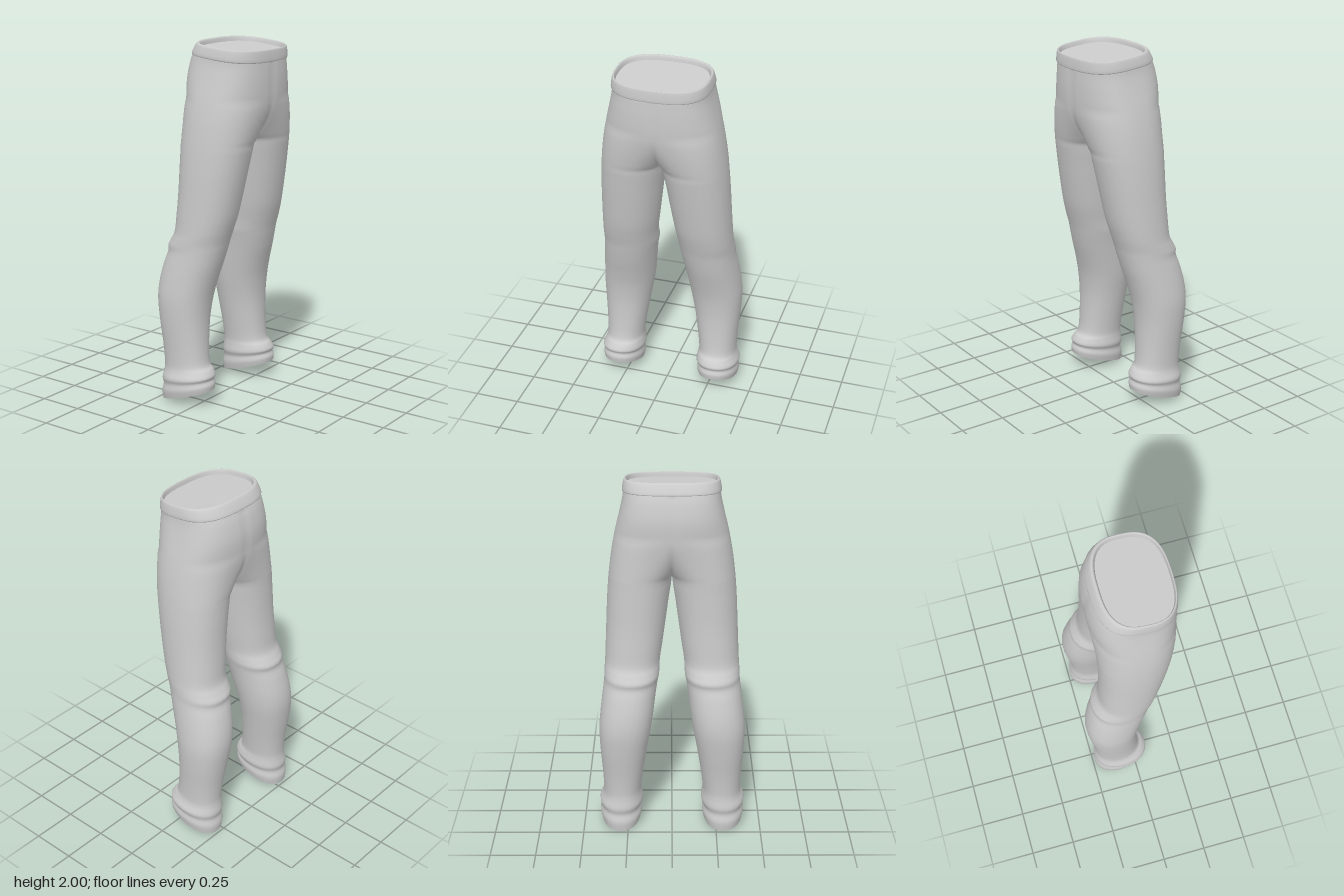
import * as THREE from 'three';
import { mergeGeometries, mergeVertices } from 'three/addons/utils/BufferGeometryUtils.js';

const CROTCH = 1.45, RISE = 0.25, N = 26;

// Cross-sections of one side, top to bottom: [y, inner x, outer x, front z, back z, tilt]
const LEG = [
  [1.925, 0, 0.260, 0.271, -0.148, -0.02],
  [1.88, 0, 0.266, 0.273, -0.168, -0.01],
  [1.80, 0, 0.284, 0.275, -0.184, 0],
  [1.70, 0, 0.308, 0.272, -0.182, 0],
  [1.58, 0, 0.330, 0.256, -0.172, 0],
  [1.45, 0, 0.346, 0.233, -0.166, 0],
  [1.33, 0.017, 0.355, 0.212, -0.165, 0],
  [1.20, 0.035, 0.361, 0.188, -0.166, 0],
  [1.08, 0.052, 0.366, 0.164, -0.172, 0],
  [0.99, 0.066, 0.370, 0.142, -0.180, 0.01],
  [0.945, 0.069, 0.373, 0.130, -0.204, 0.015],
  [0.91, 0.071, 0.375, 0.120, -0.223, 0.015],
  [0.87, 0.079, 0.377, 0.109, -0.222, 0.01],
  [0.80, 0.090, 0.386, 0.088, -0.242, 0],
  [0.70, 0.103, 0.398, 0.058, -0.264, 0],
  [0.60, 0.118, 0.406, 0.034, -0.270, 0],
  [0.48, 0.140, 0.402, 0.021, -0.257, 0],
  [0.34, 0.162, 0.392, 0.023, -0.236, 0],
  [0.235, 0.175, 0.388, 0.034, -0.226, 0],
  [0.195, 0.172, 0.394, 0.060, -0.228, 0.008],
  [0.155, 0.166, 0.410, 0.077, -0.236, 0.018],
  [0.125, 0.176, 0.403, 0.070, -0.230, 0.026],
  [0.09, 0.172, 0.408, 0.079, -0.240, 0.036],
  [0.05, 0.180, 0.400, 0.076, -0.236, 0.046],
];
const HEM = [
  LEG[LEG.length - 1],
  [0.054, 0.188, 0.392, 0.066, -0.226, 0.044],
  [0.062, 0.190, 0.390, 0.064, -0.224, 0.042],
];
const HEM_CAP = [HEM[2], [0.062, 0.29, 0.29, -0.08, -0.08, 0]];
const BAND = [
  [1.955, 0, 0.240, 0.258, -0.100, -0.018],
  [1.976, 0, 0.245, 0.262, -0.105, -0.018],
  [1.982, 0, 0.251, 0.267, -0.114, -0.018],
  [1.972, 0, 0.259, 0.272, -0.128, -0.018],
  [1.925, 0, 0.267, 0.276, -0.153, -0.020],
  [1.918, 0, 0.258, 0.270, -0.147, -0.020],
];
const WAIST_CAP = [[1.955, 0, 0, 0.079, 0.079, 0], BAND[0]];

// Catmull-Rom rows between the given sections
function smoothRows(keys, sub) {
  const rows = [];
  const at = i => keys[Math.min(Math.max(i, 0), keys.length - 1)];
  for (let i = 0; i < keys.length - 1; i++) {
    for (let k = 0; k < sub; k++) {
      const t = k / sub;
      rows.push(at(i).map((b, c) => {
        const a = at(i - 1)[c], d = at(i + 1)[c], e = at(i + 2)[c];
        return b + 0.5 * t * (d - a + t * (2 * a - 5 * b + 4 * d - e + t * (3 * (b - d) + e - a)));
      }));
    }
  }
  rows.push(keys[keys.length - 1]);
  return rows;
}

// One row of points: an open arc above the crotch, a closed ring below it
function ring([y, xi, xo, zf, zb, tilt]) {
  const q = THREE.MathUtils.clamp((y - CROTCH) / RISE, 0, 1);
  const s = Math.asin(1 - q);
  const p = THREE.MathUtils.lerp(0.92, 0.72, THREE.MathUtils.smoothstep(y, 1.4, 1.95));
  const bulge = v => Math.sign(v) * Math.abs(v) ** p;
  const inner = Math.max(xi, 0);
  const rx = (xo - inner) / (1 + bulge(Math.sin(s)));
  const zc = (zf + zb) / 2, d = (zf - zb) / 2;
  const steps = [0, 0.015];
  for (let i = 1; i < N; i++) steps.push(i / N);
  steps.push(0.985, 1);
  return steps.map((u, i) => {
    const end = i === 0 || i === steps.length - 1;
    const a = -s + u * (Math.PI + 2 * s);
    let c = bulge(Math.cos(a));
    // shallow centre seam
    if (end && y > 1.5 && y < 1.915) c *= 0.975;
    if (end && q === 0) c = 0;
    return [end ? inner : xo - rx + rx * bulge(Math.sin(a)), y + tilt * c, zc + d * c];
  });
}

// Skin the rows on one side (1 = left, -1 = right)
function skin(rows, side) {
  const pts = [], index = [];
  const rings = rows.map(ring), n = rings[0].length;
  rings.forEach(r => r.forEach(([x, y, z]) => pts.push(x * side, y, z)));
  for (let j = 0; j < rings.length - 1; j++) {
    for (let i = 0; i < n - 1; i++) {
      const a = j * n + i, b = a + 1, c = a + n, d = c + 1;
      if (side > 0) index.push(a, c, b, b, c, d);
      else index.push(a, b, c, b, d, c);
    }
  }
  const g = new THREE.BufferGeometry();
  g.setAttribute('position', new THREE.Float32BufferAttribute(pts, 3));
  g.setIndex(index);
  return g;
}

export function createModel() {
  const group = new THREE.Group();
  const material = new THREE.MeshStandardMaterial({ color: 0xcccccc, side: THREE.DoubleSide });

  // Both sides welded along the centre line
  const addPart = (name, rows) => {
    const g = mergeVertices(mergeGeometries([skin(rows, 1), skin(rows, -1)]), 1e-4);
    g.computeVertexNormals();
    const mesh = new THREE.Mesh(g, material);
    mesh.name = name;
    group.add(mesh);
  };

  addPart('trouserLegs', smoothRows(LEG, 5));
  addPart('waistband', smoothRows(BAND, 3));
  addPart('waistOpening', WAIST_CAP);
  addPart('legHems', HEM);
  addPart('legOpenings', HEM_CAP);
  return group;
}
